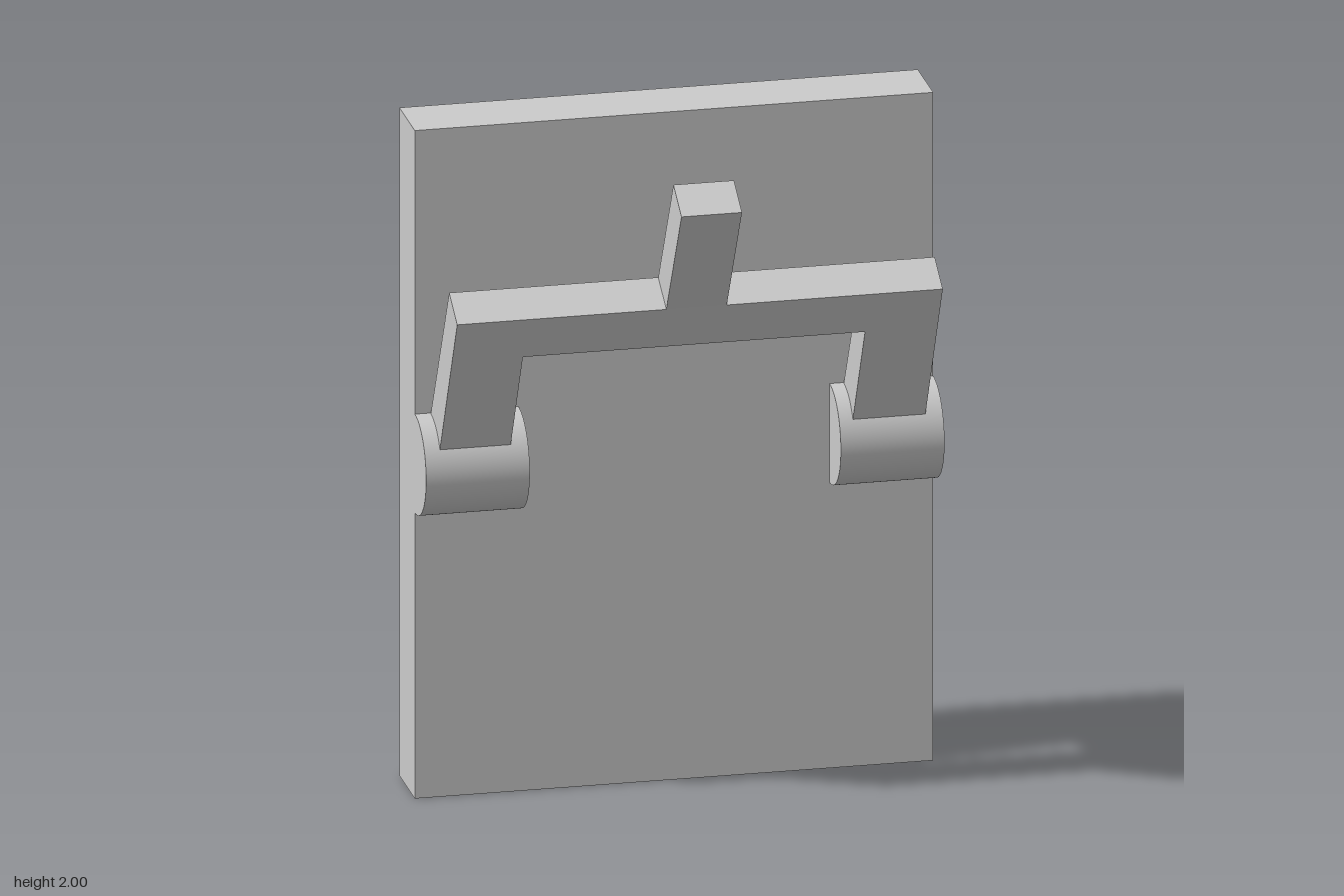
import * as THREE from 'three';

const material = new THREE.MeshStandardMaterial({ color: 0xcccccc });

function addMesh(group, name, geometry) {
  const mesh = new THREE.Mesh(geometry, material);
  mesh.name = name;
  group.add(mesh);
  return mesh;
}

// Extrudes an (x, v) outline one unit deep, then leans it onto a side section.
// The section holds [z, y] corners; v runs from bottom (0) to top (1).
function leaningBar(outline, { bottomBack, bottomFront, topBack, topFront }) {
  const shape = new THREE.Shape(outline.map(([x, v]) => new THREE.Vector2(x, v)));
  const geometry = new THREE.ExtrudeGeometry(shape, { depth: 1, bevelEnabled: false });
  const p = geometry.attributes.position;
  const { lerp } = THREE.MathUtils;
  for (let i = 0; i < p.count; i++) {
    const v = p.getY(i), d = p.getZ(i);
    const [z, y] = [0, 1].map((k) => lerp(
      lerp(bottomBack[k], topBack[k], v), lerp(bottomFront[k], topFront[k], v), d));
    p.setXYZ(i, p.getX(i), y, z);
  }
  geometry.computeVertexNormals();
  return geometry;
}

export function createModel() {
  const model = new THREE.Group();
  model.name = 'leverOnPanel';

  // Upright back panel
  addMesh(model, 'panel', new THREE.BoxGeometry(1.5, 2, 0.2)).position.set(0, 1, -0.275);

  // Half-round hinges against the panel
  for (const side of [-1, 1]) {
    const hinge = new THREE.CylinderGeometry(0.148, 0.148, 0.3, 48, 1, false, -Math.PI / 2, Math.PI);
    hinge.rotateZ(Math.PI / 2);
    addMesh(model, side < 0 ? 'rightHinge' : 'leftHinge', hinge).position.set(side * 0.6, 1.003, -0.175);
  }

  // Forked lever: two arms running into the hinges, joined by a crossbar
  const jointBack = [0.07, 1.595], jointFront = [0.175, 1.535];
  addMesh(model, 'leverFork', leaningBar([
    [-0.705, -0.15], [-0.5, -0.15], [-0.5, 0.7], [0.49, 0.7],
    [0.49, -0.15], [0.7, -0.15], [0.7, 1], [-0.705, 1],
  ], { bottomBack: [-0.17, 1.15], bottomFront: [-0.05, 1.085], topBack: jointBack, topFront: jointFront }));

  // Handle rising from the crossbar
  addMesh(model, 'leverHandle', leaningBar(
    [[-0.1, 0], [0.075, 0], [0.075, 1], [-0.1, 1]],
    { bottomBack: jointBack, bottomFront: jointFront, topBack: [0.268, 1.94], topFront: [0.373, 1.88] }));

  return model;
}
